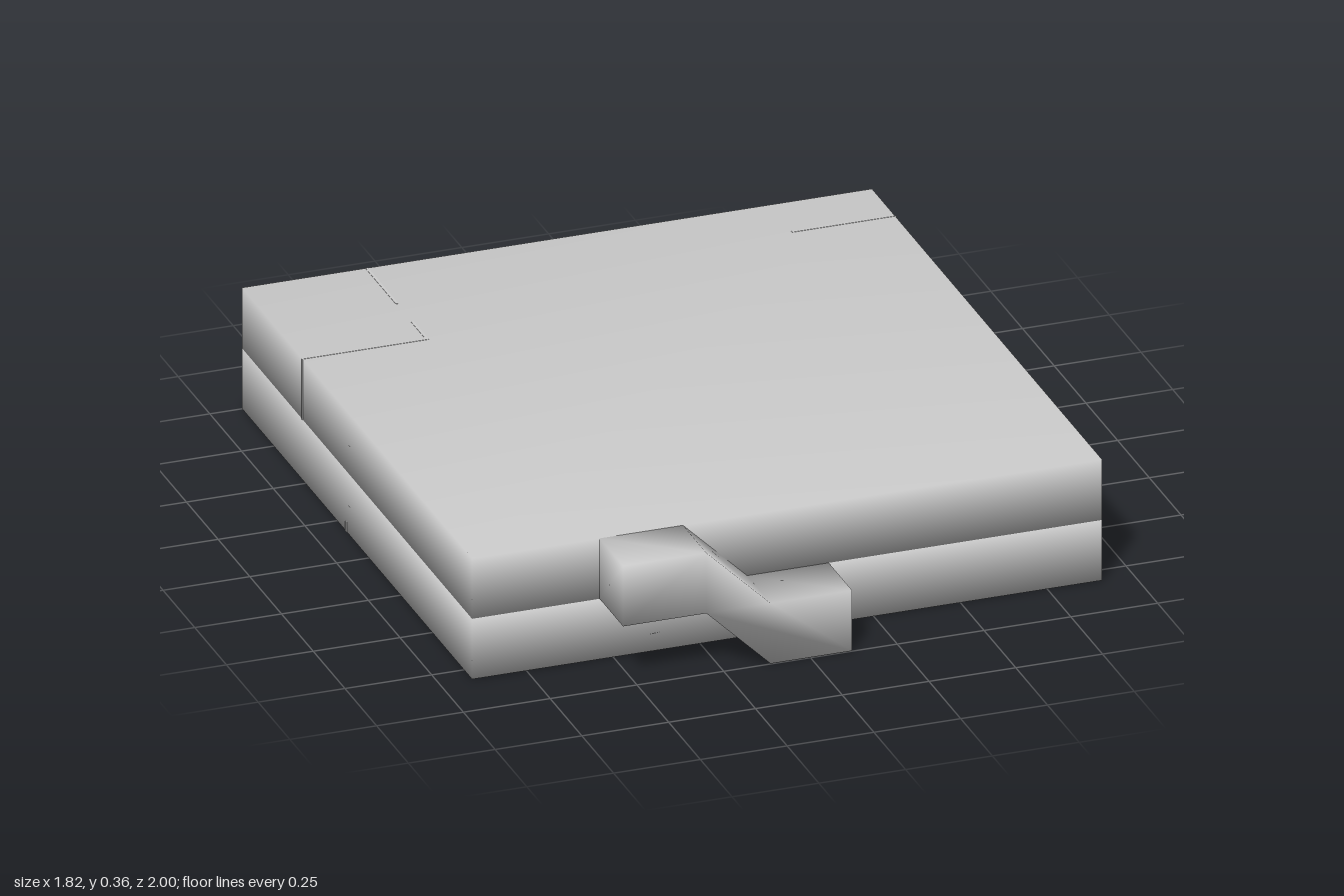
import * as THREE from 'three';
import { mergeVertices } from 'three/addons/utils/BufferGeometryUtils.js';

const material = new THREE.MeshStandardMaterial({ color: 0xcccccc });

// Weld shared corners so the shading rolls softly over the edges
function soften(geometry) {
  geometry.deleteAttribute('normal');
  geometry.deleteAttribute('uv');
  const welded = mergeVertices(geometry, 1e-4);
  welded.computeVertexNormals();
  return welded;
}

export function createModel() {
  const group = new THREE.Group();
  const add = (name, geometry, x = 0, y = 0, z = 0) => {
    const mesh = new THREE.Mesh(geometry, material);
    mesh.name = name;
    mesh.position.set(x, y, z);
    group.add(mesh);
  };

  const H = 0.181, W = 1.815, HALF = W / 2, FRONT = 0.815, BACK = -1;

  // Two stacked square slabs
  const slab = soften(new THREE.BoxGeometry(W, H, W));
  add('lowerSlab', slab, 0, H / 2, (FRONT + BACK) / 2);
  add('upperSlab', slab, 0, H * 1.5, (FRONT + BACK) / 2);

  // Stepped strip on the front, dropping from the upper to the lower slab
  const profile = new THREE.Shape([
    [-0.54, H], [-0.3, H], [-0.115, 0], [0.12, 0],
    [0.12, H], [-0.115, H], [-0.3, H * 2], [-0.54, H * 2],
  ].map(([x, y]) => new THREE.Vector2(x, y)));
  const strip = new THREE.ExtrudeGeometry(profile, { depth: 1 - FRONT, bevelEnabled: false });
  add('frontStep', soften(strip), 0, 0, FRONT);

  // Hairline seams, barely proud of the surface
  const T = 0.008, P = 0.002;
  const seam = (x0, x1, y0, y1, z0, z1) => add('seam',
    new THREE.BoxGeometry(x1 - x0, y1 - y0, z1 - z0),
    (x0 + x1) / 2, (y0 + y1) / 2, (z0 + z1) / 2);

  // Top seams
  const top = [[-0.552, -0.544, BACK, -0.76], [-0.552, -0.544, -0.64, -0.52],
    [-HALF, -0.544, -0.526, -0.52], [0.61, HALF, -0.822, -0.816]];
  for (const [x0, x1, z0, z1] of top) seam(x0, x1, 2 * H - P, 2 * H + P / 2, z0, z1);

  // Seams on the +x side: position along z and top height
  for (const [z, y] of [[0.28, 0.26], [0.09, 0.23], [-0.45, 0.32], [-0.635, 0.31], [-0.816, 2 * H]])
    seam(HALF - P, HALF + P, H, y, z - T / 2, z + T / 2);

  // Seams on the -x side
  seam(-HALF - P, -HALF + P, H, 2 * H, -0.526, -0.52);
  seam(-HALF - P, -HALF + P, 0, 0.03, -0.18, -0.172);

  // Seams on the back and underside
  seam(-0.552, -0.544, H, 2 * H, BACK - P / 2, BACK + P);
  seam(-0.074, -0.066, 0, 0.03, BACK - P / 2, BACK + P);
  seam(-0.47, -0.1, -P / 2, P, -0.174, -0.168);

  return group;
}
